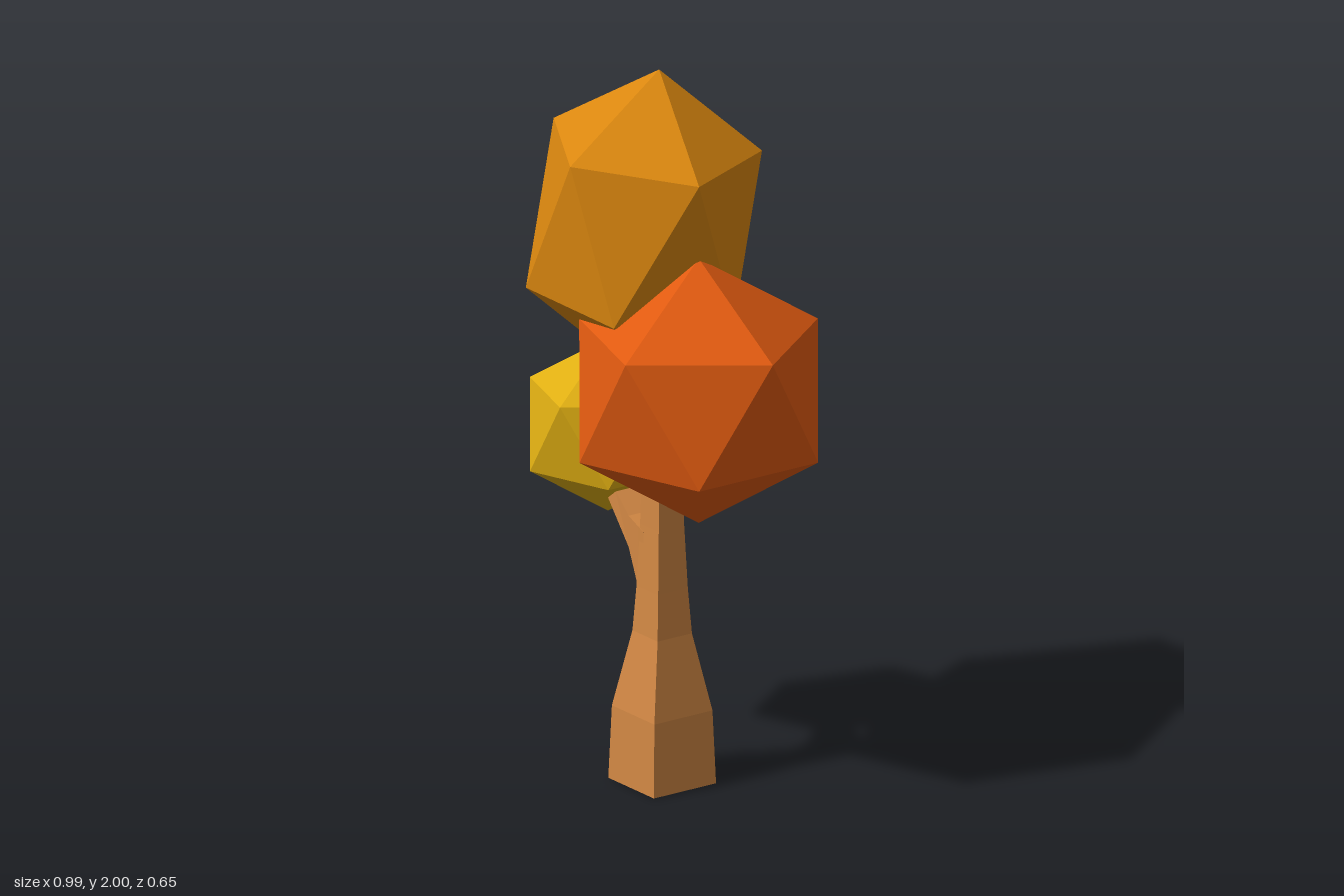
import * as THREE from 'three';

const material = (name, color) => {
  const m = new THREE.MeshStandardMaterial({ color });
  m.name = name;
  return m;
};

// Unshared triangles give every facet its own flat normal
function facetedMesh(name, triangles, mat) {
  const geometry = new THREE.BufferGeometry().setFromPoints(triangles.flat());
  geometry.computeVertexNormals();
  const mesh = new THREE.Mesh(geometry, mat);
  mesh.name = name;
  return mesh;
}

// Twenty-sided crown: an apex and a ring of five, repeated by point symmetry
function crown(name, center, apex, ring, mat) {
  const opposite = (p) => center.clone().multiplyScalar(2).sub(p);
  const triangles = [];
  for (let i = 0; i < 5; i++) {
    const a = ring[i], b = ring[(i + 1) % 5];
    const low = opposite(ring[(i + 3) % 5]);
    for (const [p, q, r] of [[apex, b, a], [a, b, low]]) {
      triangles.push([p, q, r], [opposite(p), opposite(r), opposite(q)]);
    }
  }
  return facetedMesh(name, triangles, mat);
}

function regularCrown(name, x, y, z, radius, mat) {
  const center = new THREE.Vector3(x, y, z);
  const ring = [];
  for (let i = 0; i < 5; i++) {
    const t = (i * Math.PI * 2) / 5, r = radius * 0.8944;
    ring.push(new THREE.Vector3(x + r * Math.cos(t), y + radius * 0.4472, z + r * Math.sin(t)));
  }
  return crown(name, center, new THREE.Vector3(x, y + radius, z), ring, mat);
}

// Skin four-cornered sections and cap both ends
function loft(name, sections, mat) {
  const triangles = [];
  const quad = (a, b, c, d) => triangles.push([a, b, c], [a, c, d]);
  for (let s = 0; s < sections.length - 1; s++) {
    const low = sections[s], high = sections[s + 1];
    for (let i = 0; i < 4; i++) {
      const j = (i + 1) % 4;
      quad(low[i], low[j], high[j], high[i]);
    }
  }
  quad(...[...sections[0]].reverse());
  quad(...sections[sections.length - 1]);
  return facetedMesh(name, triangles, mat);
}

export function createModel() {
  const v = (x, y, z) => new THREE.Vector3(x, y, z);
  const bark = material('bark brown', 0xd28844);
  const red = material('red orange leaves', 0xe05a10);
  const gold = material('golden orange leaves', 0xdb870f);
  const yellow = material('yellow leaves', 0xdfae12);

  const tree = new THREE.Group();
  tree.name = 'tree';

  // Square trunk: height, centre, half width
  const trunk = [
    [0, 0.05, 0.105], [0.21, 0.05, 0.098], [0.43, 0.05, 0.058],
    [0.56, 0.05, 0.05], [0.74, 0.05, 0.043], [1.0, 0.05, 0.037],
  ].map(([y, c, h]) => [
    v(c - h, y, c + h), v(c + h, y, c + h), v(c + h, y, c - h), v(c - h, y, c - h),
  ]);
  tree.add(loft('trunk', trunk, bark));

  // Side branch: lower x, lower y, upper x, upper y, back z, front z
  const branch = [
    [0.025, 0.53, 0.025, 0.72, 0.005, 0.095],
    [0.0, 0.555, 0.0, 0.73, 0.005, 0.095],
    [-0.05, 0.655, -0.05, 0.745, 0.008, 0.09],
    [-0.155, 0.76, -0.125, 0.795, 0.015, 0.08],
    [-0.2, 0.805, -0.17, 0.825, 0.02, 0.075],
  ].map(([x0, y0, x1, y1, z0, z1]) => [
    v(x0, y0, z0), v(x0, y0, z1), v(x1, y1, z1), v(x1, y1, z0),
  ]);
  tree.add(loft('branch', branch, bark));

  // Crowns; the top one is stretched and tilted
  tree.add(regularCrown('lowerCrown', 0.15, 1.145, 0, 0.382, red));
  tree.add(regularCrown('branchCrown', -0.276, 0.925, -0.006, 0.25, yellow));
  tree.add(crown('topCrown', v(-0.116, 1.5625, -0.01), v(-0.08, 2.0, -0.035), [
    v(0.2, 1.755, 0.035), v(-0.06, 1.79, 0.28), v(-0.375, 1.805, 0.105),
    v(-0.305, 1.775, -0.25), v(0.05, 1.75, -0.287),
  ], gold));

  return tree;
}
